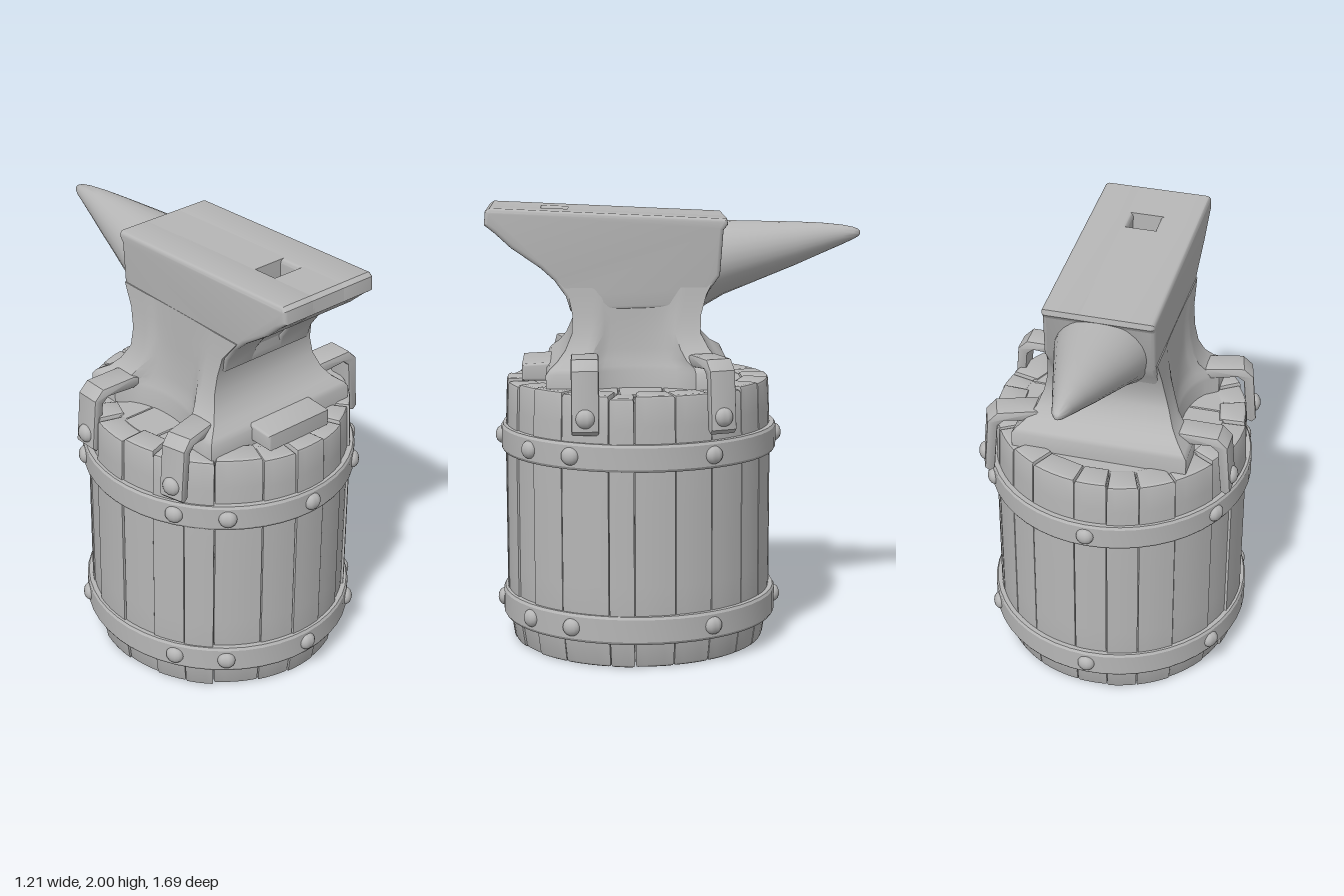
import * as THREE from 'three';
import { toCreasedNormals } from 'three/addons/utils/BufferGeometryUtils.js';

const grey = new THREE.MeshStandardMaterial({ color: 0xb6b6b6 });
grey.name = 'plain grey';

const CZ = 0.165; // barrel centre on z
const BARREL_Z = 1.035; // barrel is slightly deeper than wide

function add(parent, name, geometry, crease = 0.6) {
  const mesh = new THREE.Mesh(toCreasedNormals(geometry, crease), grey);
  mesh.name = name;
  parent.add(mesh);
  return mesh;
}

function seeded(seed) {
  return () => {
    seed = (seed * 16807) % 2147483647;
    return seed / 2147483647;
  };
}

const shapeOf = (pts) => new THREE.Shape(pts.map((p) => new THREE.Vector2(p[0], p[1])));

// Skin a list of equal-length rings and close both ends
function loft(rings) {
  const n = rings[0].length;
  const pos = [];
  const index = [];
  rings.forEach((r) => r.forEach((p) => pos.push(...p)));
  for (let i = 0; i < rings.length - 1; i++) {
    for (let j = 0; j < n; j++) {
      const k = (j + 1) % n;
      const a = i * n + j, b = i * n + k, c = b + n, d = a + n;
      index.push(a, b, c, a, c, d);
    }
  }
  [0, rings.length - 1].forEach((i) => {
    const centre = [0, 1, 2].map((k) => rings[i].reduce((s, p) => s + p[k], 0) / n);
    const id = pos.length / 3;
    pos.push(...centre);
    for (let j = 0; j < n; j++) {
      const a = i * n + j, b = i * n + ((j + 1) % n);
      if (i === 0) index.push(id, b, a);
      else index.push(id, a, b);
    }
  });
  const g = new THREE.BufferGeometry();
  g.setAttribute('position', new THREE.Float32BufferAttribute(pos, 3));
  g.setIndex(index);
  return g;
}

// Extrude a (z, y) side profile across x, from x0 to x1, with an inward bevel
function slab(pts, x0, x1, bevel) {
  const g = new THREE.ExtrudeGeometry(shapeOf(pts), {
    depth: x1 - x0 - 2 * bevel, bevelEnabled: bevel > 0, bevelThickness: bevel,
    bevelSize: bevel, bevelOffset: -bevel, bevelSegments: 3,
  });
  return g.rotateY(-Math.PI / 2).translate(x1 - bevel, 0, 0);
}

function rivet(parent, name, x, y, z, angle, r) {
  const m = add(parent, name, new THREE.SphereGeometry(r, 14, 10), 1);
  m.position.set(x, y, z);
  m.rotation.y = angle;
  m.scale.z = 0.7;
}

function buildBarrel() {
  const barrel = new THREE.Group();
  barrel.name = 'barrel';
  const rand = seeded(77);

  // Staves: uneven wedges around the rim, tapered towards both ends
  const count = 22;
  const turn = (Math.PI * 2) / count;
  const cuts = Array.from({ length: count }, (_, i) => (i + (rand() - 0.5) * 0.4) * turn);
  cuts.push(cuts[0] + Math.PI * 2);
  for (let i = 0; i < count; i++) {
    const r = 0.578 + rand() * 0.016;
    const a0 = cuts[i] + 0.004, a1 = cuts[i + 1] - 0.004;
    const pts = [];
    for (let k = 0; k <= 4; k++) {
      const a = a0 + ((a1 - a0) * k) / 4;
      pts.push([Math.cos(a) * r, Math.sin(a) * r]);
    }
    pts.push([Math.cos(a1) * 0.46, Math.sin(a1) * 0.46], [Math.cos(a0) * 0.46, Math.sin(a0) * 0.46]);
    const top = 1.205 + rand() * 0.02;
    const g = new THREE.ExtrudeGeometry(shapeOf(pts), {
      depth: top - 0.03, steps: 10, bevelThickness: 0.015, bevelSize: 0.012, bevelOffset: -0.012, bevelSegments: 2,
    }).rotateX(-Math.PI / 2).translate(0, 0.018, 0);
    const p = g.attributes.position;
    for (let v = 0; v < p.count; v++) {
      const y = p.getY(v);
      const s = 1 - 0.05 * Math.max(0, 1 - y / 0.2) - 0.015 * Math.max(0, (y - 0.95) / 0.25);
      p.setX(v, p.getX(v) * s);
      p.setZ(v, p.getZ(v) * s);
    }
    add(barrel, 'stave', g);
  }

  // Lids: planks clipped to a disc
  const lid = (name, y, rotation, planks) => {
    const R = 0.475;
    for (let i = 0; i < planks; i++) {
      const t0 = Math.asin(-1 + (2 * i) / planks), t1 = Math.asin(-1 + (2 * (i + 1)) / planks);
      const pts = [];
      for (let k = 0; k <= 8; k++) {
        const t = t0 + ((t1 - t0) * k) / 8;
        pts.push([Math.cos(t) * R, Math.sin(t) * R]);
      }
      const left = pts.map(([x, z]) => [-x, z]).reverse();
      const outline = pts.concat(left).filter((p, j, all) => {
        const q = all[(j + 1) % all.length];
        return Math.hypot(p[0] - q[0], p[1] - q[1]) > 1e-4;
      });
      const g = new THREE.ExtrudeGeometry(shapeOf(outline), {
        depth: 0.03, bevelThickness: 0.005, bevelSize: 0.005, bevelOffset: -0.005, bevelSegments: 1,
      }).rotateX(-Math.PI / 2).rotateY(rotation);
      add(barrel, name, g).position.y = y + (rand() - 0.5) * 0.006;
    }
  };
  lid('top plank', 1.172, 0, 5);
  lid('bottom plank', 0.016, 0.6, 5);

  // Hoops with rivets
  const angles = [0, 38, -38, 60, -60, 120, -120, 180];
  [[0.12, 0.245], [0.89, 1.01]].forEach(([y0, y1]) => {
    const profile = [[0.56, y0], [0.6, y0], [0.607, y0 + 0.012], [0.607, y1 - 0.012], [0.6, y1], [0.56, y1]];
    add(barrel, 'hoop', new THREE.LatheGeometry(profile.map((p) => new THREE.Vector2(...p)), 48), 0.5);
    angles.forEach((deg) => {
      const a = (deg * Math.PI) / 180;
      rivet(barrel, 'hoop rivet', Math.sin(a) * 0.605, (y0 + y1) / 2, Math.cos(a) * 0.605, a, 0.04);
    });
  });
  barrel.position.z = CZ;
  barrel.scale.z = BARREL_Z;
  return barrel;
}

function buildAnvil() {
  const anvil = new THREE.Group();
  anvil.name = 'anvil';

  // Foot: y, back z, front z, half width at the corners, half width at the hollowed sides
  const levels = [
    [1.19, -0.24, 0.58, 0.4, 0.29], [1.285, -0.24, 0.58, 0.4, 0.28], [1.305, -0.23, 0.565, 0.385, 0.275],
    [1.335, -0.18, 0.53, 0.345, 0.265], [1.38, -0.14, 0.495, 0.312, 0.26], [1.45, -0.102, 0.465, 0.285, 0.252],
    [1.53, -0.105, 0.462, 0.268, 0.25], [1.62, -0.13, 0.48, 0.257, 0.248], [1.72, -0.18, 0.56, 0.25, 0.246],
  ];
  const foot = levels.map(([y, z0, z1, hw, waist]) => {
    const side = [];
    for (let k = 0; k <= 20; k++) {
      const u = (k / 20) * 2 - 1;
      const bump = Math.abs(u) < 0.58 ? Math.sqrt(1 - (u / 0.58) ** 2) : 0;
      side.push([hw - (hw - waist) * bump, y, z1 + ((z0 - z1) * k) / 20]);
    }
    return side.concat(side.map(([x, yy, z]) => [-x, yy, z]).reverse());
  });
  add(anvil, 'foot', loft(foot), 0.7);
  add(anvil, 'foot front tab', slab([[0.5, 1.225], [0.69, 1.225], [0.69, 1.3], [0.5, 1.31]], -0.17, 0.18, 0.012));

  // Body: two bevelled cheeks with centre pieces leaving a square hole
  const topY = (z) => 1.95 + ((z + 0.22) / 1.06) * 0.05;
  const back = [[-0.11, 1.56], [-0.14, 1.63], [-0.19, 1.7], [-0.205, 1.9], [-0.225, 1.925], [-0.22, topY(-0.22)]];
  const heel = [[0.84, 1.985], [0.845, 1.925], [0.8, 1.89], [0.73, 1.825], [0.6, 1.735]];
  const throat = [[0.54, 1.68], [0.49, 1.61], [0.47, 1.545]];
  const cheek = [...back, [0.82, topY(0.82)], ...heel, ...throat].reverse();
  add(anvil, 'left cheek', slab(cheek, 0.065, 0.255, 0.018));
  add(anvil, 'right cheek', slab(cheek, -0.245, -0.065, 0.018));
  add(anvil, 'centre', slab([...back, [0.48, topY(0.48)], [0.48, 1.58], [0.47, 1.545]].reverse(), -0.09, 0.09, 0));
  add(anvil, 'heel centre', slab([[0.6, topY(0.6)], [0.82, topY(0.82)], ...heel].reverse(), -0.09, 0.09, 0));

  // Horn: z, underside y, top y, half width
  const horn = [
    [-0.1, 1.52, 1.93, 0.225], [-0.22, 1.59, 1.925, 0.2], [-0.32, 1.63, 1.922, 0.172], [-0.42, 1.67, 1.92, 0.142],
    [-0.54, 1.718, 1.917, 0.108], [-0.66, 1.77, 1.912, 0.073], [-0.76, 1.813, 1.902, 0.044],
    [-0.81, 1.836, 1.892, 0.03], [-0.835, 1.85, 1.882, 0.016], [-0.842, 1.86, 1.872, 0.006],
  ];
  add(anvil, 'horn', loft(horn.map(([z, y0, y1, hw]) => Array.from({ length: 28 }, (_, j) => {
    const a = (j / 28) * Math.PI * 2;
    return [-Math.cos(a) * hw, (y0 + y1) / 2 + (Math.sin(a) * (y1 - y0)) / 2, z];
  }))), 1);
  return anvil;
}

// Bent hold-down straps: x, z of the inner end, direction, lift
function buildStrap([x, z, angle, lift]) {
  const strap = new THREE.Group();
  strap.name = 'hold-down strap';
  const pts = [
    [-0.03, 1.3], [0, 1.29], [0.14, 1.3], [0.17, 1.275], [0.19, 1.06], [0.215, 1.045],
    [0.235, 1.065], [0.215, 1.3], [0.17, 1.345], [0, 1.345], [-0.03, 1.335],
  ].map(([px, py]) => [px, py + (py > 1.2 ? lift : 0)]);
  add(strap, 'strap', new THREE.ExtrudeGeometry(shapeOf(pts), {
    depth: 0.1, bevelThickness: 0.01, bevelSize: 0.008, bevelOffset: -0.008, bevelSegments: 2,
  }).translate(0, 0, -0.05));
  rivet(strap, 'strap rivet', 0.228, 1.12, 0, Math.PI / 2, 0.042);
  strap.position.set(x, 0, z);
  strap.rotation.y = angle;
  return strap;
}

export function createModel() {
  const model = new THREE.Group();
  model.name = 'anvil on barrel';
  model.add(buildBarrel(), buildAnvil());
  [
    [-0.345, -0.07, Math.PI, 0], [0.33, -0.11, 0.35, 0.02],
    [0.34, 0.41, 0, 0.025], [-0.335, 0.445, Math.PI + 0.25, 0],
  ].forEach((s) => model.add(buildStrap(s)));
  return model;
}
